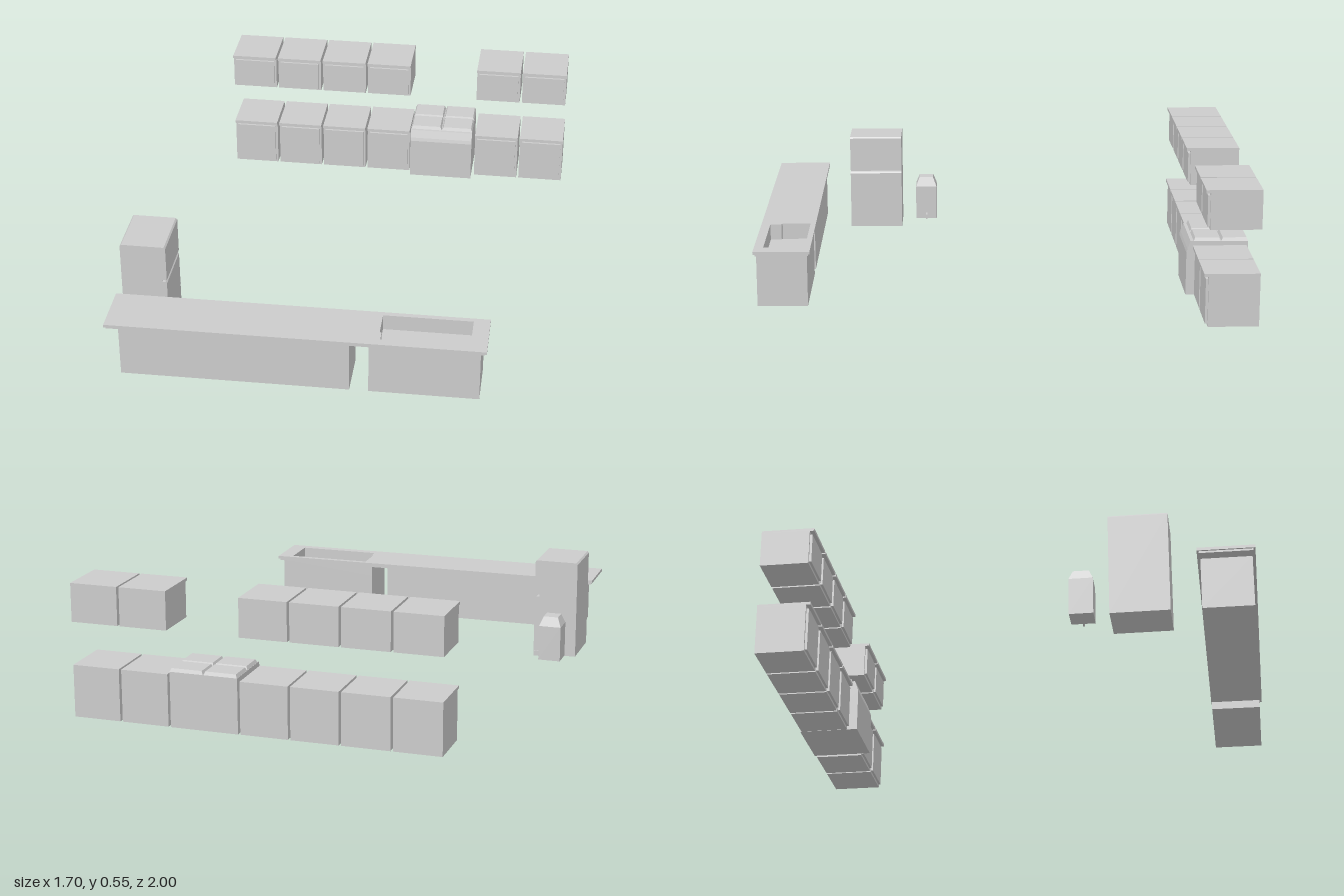
import * as THREE from 'three';

const grey = new THREE.MeshStandardMaterial({ color: 0xcccccc, flatShading: true });

function mesh(name, geometry, parent) {
  const m = new THREE.Mesh(geometry, grey);
  m.name = name;
  parent.add(m);
  return m;
}

// Box given by its limits; taper pulls the top face in on all four sides
function block(name, parent, [x0, x1], [y0, y1], [z0, z1], taper = 0) {
  const w = x1 - x0, h = y1 - y0, d = z1 - z0;
  const g = new THREE.BoxGeometry(w, h, d);
  const p = g.attributes.position;
  for (let i = 0; i < p.count; i++) {
    if (p.getY(i) > 0) {
      p.setX(i, p.getX(i) - Math.sign(p.getX(i)) * taper);
      p.setZ(i, p.getZ(i) - Math.sign(p.getZ(i)) * taper);
    }
  }
  g.computeVertexNormals();
  g.translate((x0 + x1) / 2, (y0 + y1) / 2, (z0 + z1) / 2);
  return mesh(name, g, parent);
}

function group(name, parent) {
  const g = new THREE.Group();
  g.name = name;
  parent.add(g);
  return g;
}

const outline = pts => pts.map(([x, y]) => new THREE.Vector2(x, y));

// Horizontal plate with a rectangular hole
function holedPlate(name, parent, [x0, x1], [y0, y1], [z0, z1], hole) {
  const shape = new THREE.Shape(outline([[x0, -z1], [x1, -z1], [x1, -z0], [x0, -z0]]));
  shape.holes.push(new THREE.Path(outline(hole.map(([x, z]) => [x, -z]))));
  const g = new THREE.ExtrudeGeometry(shape, { depth: y1 - y0, bevelEnabled: false });
  g.rotateX(-Math.PI / 2).translate(0, y0, 0);
  return mesh(name, g, parent);
}

// Cabinet with a raised door and a thin overhanging top
function cabinet(name, parent, x, y0, y1) {
  const c = group(name, parent), w = 0.195;
  block('cabinetBody', c, [x, x + w], [y0, y1 - 0.012], [-0.99, -0.79]);
  block('cabinetDoor', c, [x + 0.01, x + w - 0.01], [y0 + 0.01, y1 - 0.024], [-0.79, -0.78]);
  block('cabinetTop', c, [x, x + w], [y1 - 0.012, y1], [-0.99, -0.772]);
}

function buildStove(parent) {
  const s = group('stove', parent);
  // Side profile with the control panel leaning back, swept across the width
  const profile = outline([[-0.997, 0.012], [-0.748, 0.012], [-0.748, 0.19],
    [-0.752, 0.205], [-0.764, 0.238], [-0.997, 0.238]]);
  const g = new THREE.ExtrudeGeometry(new THREE.Shape(profile), { depth: 0.28, bevelEnabled: false });
  g.rotateY(-Math.PI / 2).translate(0.437, 0, 0);
  mesh('stoveBody', g, s);
  // Four burner plates
  for (const x of [0.158, 0.299]) {
    for (const z of [-0.997, -0.885]) {
      block('burnerPlate', s, [x, x + 0.138], [0.238, 0.252], [z, z + 0.108], 0.006);
    }
  }
}

function buildIsland(parent) {
  const island = group('island', parent);
  island.position.set(-0.105, 0, 0.88);
  island.rotation.y = 0.0087;
  const sink = [[0.325, -0.09], [0.68, -0.09], [0.68, 0.075], [0.333, 0.075], [0.333, 0.03], [0.325, 0.025]];
  holedPlate('counterTop', island, [-0.745, 0.745], [0.248, 0.26], [-0.112, 0.112], sink);
  holedPlate('counterTrim', island, [-0.738, 0.738], [0.24, 0.248], [-0.105, 0.105], sink);
  block('longBase', island, [-0.69, 0.215], [0.03, 0.24], [-0.1, 0.1]);
  // Base under the sink: closed below, basin walls above
  block('sinkBase', island, [0.29, 0.722], [0.03, 0.195], [-0.1, 0.1]);
  holedPlate('sinkBasin', island, [0.29, 0.722], [0.195, 0.24], [-0.1, 0.1], sink);
}

function buildFridge(parent) {
  // Front profile with chamfered top corners and a grip groove between the doors
  const profile = outline([[-0.853, 0.003], [-0.668, 0.003], [-0.668, 0.253], [-0.674, 0.26],
    [-0.688, 0.26], [-0.688, 0.269], [-0.668, 0.269], [-0.668, 0.415], [-0.674, 0.422],
    [-0.847, 0.422], [-0.853, 0.415]]);
  const g = new THREE.ExtrudeGeometry(new THREE.Shape(profile), { depth: 0.232, bevelEnabled: false });
  g.translate(0, 0, 0.437);
  mesh('fridge', g, parent);
}

function buildBin(parent) {
  const b = group('pedalBin', parent);
  block('binBody', b, [-0.82, -0.726], [0.025, 0.175], [0.279, 0.373]);
  block('binLid', b, [-0.82, -0.726], [0.175, 0.215], [0.279, 0.373], 0.016);
  block('pedal', b, [-0.726, -0.695], [0.028, 0.05], [0.322, 0.328]);
}

export function createModel() {
  const model = new THREE.Group();
  model.name = 'kitchen';
  // Wall and floor cabinets, leaving a gap for the stove
  for (const x of [-0.66, -0.455, -0.25, -0.045, 0.45, 0.655]) {
    cabinet('wallCabinet', model, x, 0.4, 0.557);
    cabinet('floorCabinet', model, x, 0.01, 0.224);
  }
  buildStove(model);
  buildIsland(model);
  buildFridge(model);
  buildBin(model);
  return model;
}
